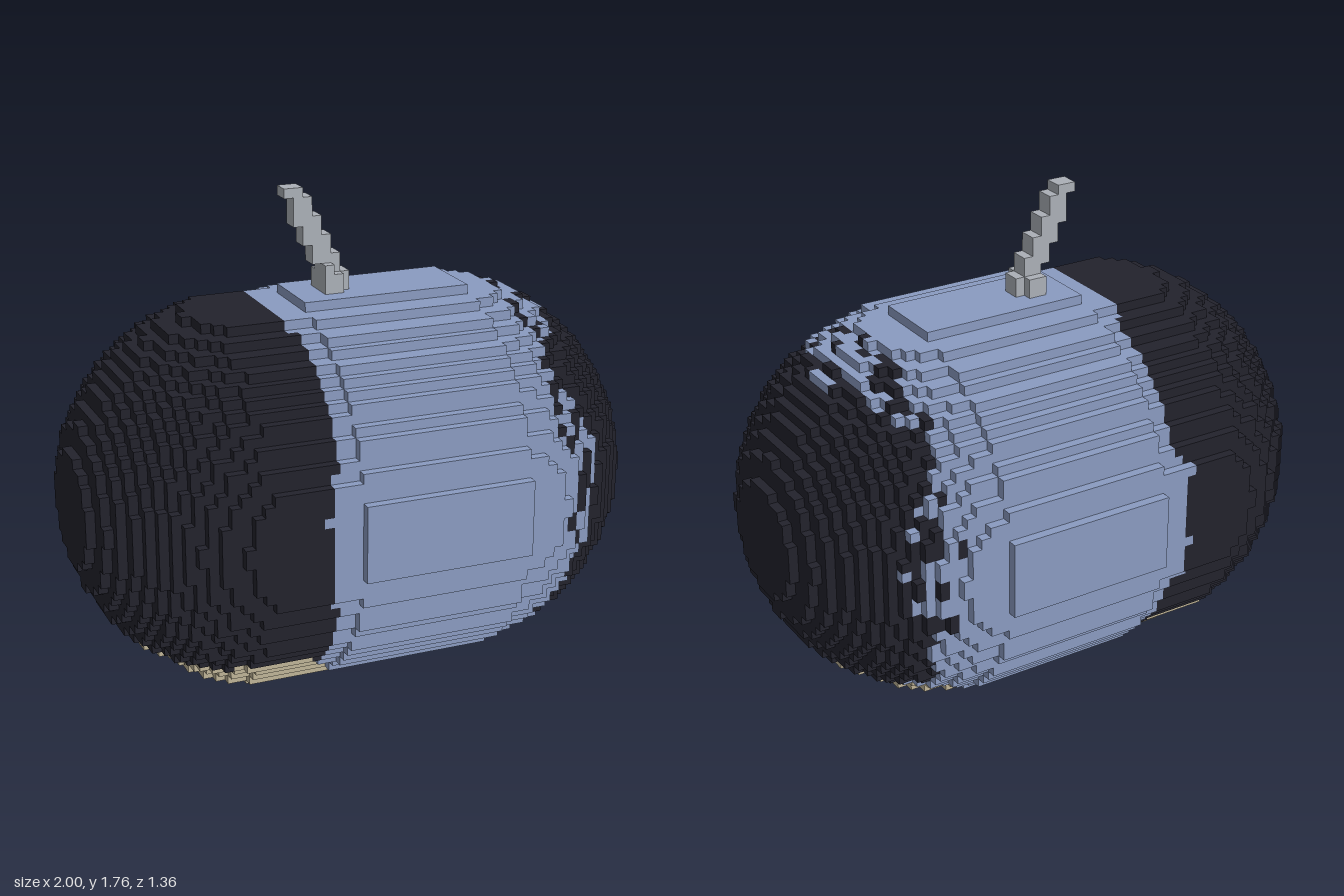
import * as THREE from 'three';

const N = 59, H = 2 / N; // cells along the length, cell size
const mat = (name, color) => Object.assign(new THREE.MeshStandardMaterial({ color }), { name });

// repeatable 0..1 noise per cell
function hash(i, j, k) {
  const s = Math.sin(i * 12.99 + j * 78.23 + k * 37.72) * 43758.55;
  return s - Math.floor(s);
}

// radius of the rounded body at length x
function radius(x) {
  const d = Math.max(Math.abs(x) - 0.345, 0);
  const cap = Math.sqrt(Math.max(0.449 - d * d, 0));
  if (x > -0.187 && x < 0.425) return 0.675; // raised middle band
  return Math.min(cap, 0.655);
}

// flat foot: half length and half width of each row, in cells
const FOOT = [[14.5, 4], [16.5, 6], [18.5, 8], [19.5, 9], [20.5, 10], [21.5, 11]];
function inFoot(i, j, z) {
  if (j > 5) return false;
  const [a, b] = FOOT[j];
  const dx = Math.max(Math.abs(i) - (a - b), 0);
  return dx * dx + z * z < b * b;
}

// colour part of a body cell, or null when empty
function bodyCell(i, j, k) {
  if (j < 0 || j > 40) return null;
  const x = i * H, z = k + 0.5, y = j + 0.5 - 21;
  if (inFoot(i, j, z)) return 'foot';
  const r = Math.hypot(y, z);
  if (r * H > radius(x)) return null;
  // how directly the surface faces up, down, front or back
  const axis = (Math.max(Math.abs(y), Math.abs(z)) / r - 0.707) / 0.293;
  if (j < 6) {
    const low = j - 3;
    return low >= 0 && i >= -5 - low && i <= 12 + low * 1.5 ? 'band' : null;
  }
  if (j === 6 && (Math.abs(z) < 6 || (i > -17 && i < -8)) && (i < -8 || i > 14)) return 'foot';
  const left = axis > 0.75 ? (hash(1, j, k) > 0.85 ? -9 : -8) : -7;
  if (i < left) return 'ends';
  if (x < 0.57) return 'band';
  // ragged right edge of the band
  const limit = 0.57 + 0.18 * Math.max(axis, 0);
  return x < limit && hash(i, j >> 1, k >> 1) > 0.2 + (x - 0.57) * 2.5 ? 'band' : 'ends';
}

// stem rows from the bottom up: first and last cell
const STEM = [[-2, 0], [-2, 0], [-2, -1], [-3, -1], [-3, -2], [-4, -2], [-4, -3], [-5, -3], [-5, -4], [-5, -4], [-6, -5]];
function stemCell(i, j, k) {
  const row = STEM[j - 41];
  if (!row) return null;
  if (k >= -1 && k <= 0 && i >= row[0] && i <= row[1]) return 'stem';
  // small collar at the root
  const side = k === 1 || k === -2;
  if (j < 43 && side && i >= -2 && i <= -1) return 'stem';
  if (j === 43 && k === 1 && i === -2) return 'stem';
  return null;
}

const SIDES = [[1, 0, 0], [-1, 0, 0], [0, 1, 0], [0, -1, 0], [0, 0, 1], [0, 0, -1]];

// add one square face of a cell
function addFace(out, c, n) {
  const a = n.findIndex((v) => v !== 0), s = n[a];
  const u = (a + 1) % 3, v = (a + 2) % 3;
  const corner = (p, q) => {
    const w = [...c];
    w[a] += s * 0.5; w[u] += p * 0.5; w[v] += q * 0.5;
    return w.map((t) => t * H);
  };
  const q = [corner(-s, -1), corner(s, -1), corner(s, 1), corner(-s, 1)];
  for (const m of [0, 1, 2, 0, 2, 3]) {
    out.pos.push(...q[m]);
    out.nor.push(...n);
  }
}

export function createModel() {
  const group = new THREE.Group();
  group.name = 'blockyMelon';
  const parts = {
    ends: ['darkEnds', mat('dark', 0x22222c)],
    band: ['wideBand', mat('blue', 0x8a9bc1)],
    foot: ['flatFoot', mat('sand', 0xbfb497)],
    stem: ['bentStem', mat('grey', 0xabb0b7)],
  };
  const faces = {};
  for (const key in parts) faces[key] = { pos: [], nor: [] };

  // fill the grid once, then keep only the exposed faces
  const cells = new Map();
  const id = (i, j, k) => ((i + 32) * 64 + j + 2) * 64 + k + 32;
  for (let i = -29; i <= 29; i++)
    for (let j = 0; j < 52; j++)
      for (let k = -20; k < 20; k++) {
        const kind = bodyCell(i, j, k) || stemCell(i, j, k);
        if (kind) cells.set(id(i, j, k), [kind, i, j, k]);
      }
  for (const [kind, i, j, k] of cells.values())
    for (const n of SIDES)
      if (!cells.has(id(i + n[0], j + n[1], k + n[2]))) addFace(faces[kind], [i, j + 0.5, k + 0.5], n);

  for (const key in parts) {
    const geo = new THREE.BufferGeometry();
    geo.setAttribute('position', new THREE.Float32BufferAttribute(faces[key].pos, 3));
    geo.setAttribute('normal', new THREE.Float32BufferAttribute(faces[key].nor, 3));
    const mesh = new THREE.Mesh(geo, parts[key][1]);
    mesh.name = parts[key][0];
    group.add(mesh);
  }
  return group;
}
